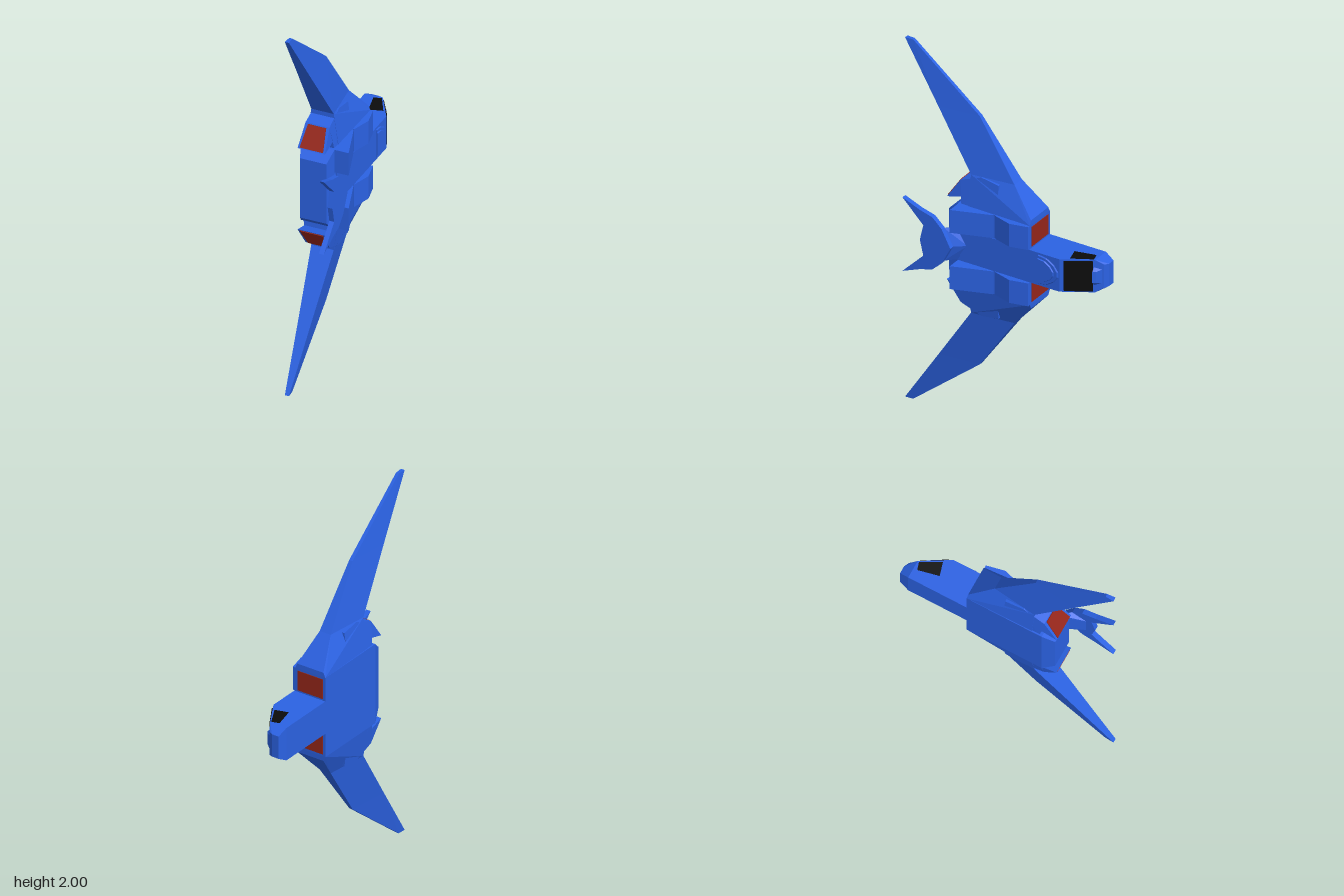
import * as THREE from 'three';
import { ConvexGeometry } from 'three/addons/geometries/ConvexGeometry.js';

const CX = -0.04; // thickness centre of hull and wings (the craft's upper side faces +x)

export function createModel() {
  const group = new THREE.Group();
  const material = (color) => new THREE.MeshStandardMaterial({ color, flatShading: true });
  const blue = material(0x2b62e3), red = material(0x96261a), black = material(0x0c0c0c);

  const add = (name, geometry, mat = blue) => {
    const mesh = new THREE.Mesh(geometry, mat);
    mesh.name = name;
    group.add(mesh);
  };
  // Convex solid from points [x, v, z], where v is the span offset from y = 1
  const hull = (name, points, mat) =>
    add(name, new ConvexGeometry(points.map(([x, v, z]) => new THREE.Vector3(x, 1 + v, z))), mat);
  // Points [z, v, halfThickness] doubled to both faces
  const thick = (points, s) => points.flatMap(([z, v, h]) => [[CX - h, v * s, z], [CX + h, v * s, z]]);
  // Points [x, v, z] doubled across the span
  const both = (points) => points.flatMap(([x, v, z]) => [[x, v, z], [x, -v, z]]);

  // Main hull with bevelled stern
  hull('mainHull', both([
    [-0.13, 0.22, -0.197], [0.05, 0.22, -0.197], [-0.13, 0.22, 0.217], [0.05, 0.22, 0.217],
    [-0.105, 0.168, 0.278], [0.035, 0.168, 0.278],
  ]));

  // Neck and cockpit
  hull('neck', both([
    [-0.13, 0.09, 0.2], [0.055, 0.09, 0.2], [-0.13, 0.09, -0.385], [0.055, 0.09, -0.37],
    [0.045, 0.09, -0.387], [-0.13, 0.09, -0.52], [-0.033, 0.09, -0.52],
    [-0.12, 0.062, -0.57], [-0.08, 0.062, -0.57], [-0.055, 0.065, -0.557],
  ]));
  hull('noseVisor', both([
    [-0.08, 0.045, -0.57], [-0.06, 0.045, -0.55], [-0.013, 0.03, -0.515],
    [-0.035, 0.055, -0.515], [-0.025, 0.03, -0.53],
  ]));
  hull('windshield', both([
    [0.045, 0.083, -0.389], [0.049, 0.083, -0.392], [-0.028, 0.083, -0.507], [-0.024, 0.083, -0.512],
  ]), black);
  for (const r of [1, 0.8]) {
    const rim = (k, x) => [-0.25, -0.3, -0.345, -0.37].map((z, i) =>
      [x, [0.085, 0.078, 0.05, 0.015][i] * k, -0.25 + (z + 0.25) * k]);
    hull('canopyFairing', both([...rim(r, 0.05), ...rim(r * 0.9, r === 1 ? 0.06 : 0.066)]));
  }

  for (const s of [1, -1]) {
    // Side window and front intake
    hull('sideWindow', [0.088, 0.092].flatMap((v) => [
      [-0.075, v * s, -0.5], [-0.035, v * s, -0.512], [0.02, v * s, -0.41], [-0.05, v * s, -0.39],
    ]), black);
    hull('frontIntake', [-0.2, -0.19].flatMap((z) => [
      [-0.115, 0.1 * s, z], [0.035, 0.1 * s, z], [-0.115, 0.208 * s, z], [0.035, 0.208 * s, z],
    ]), red);

    // Swept wing: root, middle and tip, thin at the leading edge
    const front = [-0.073, 0.385, 0.033], back = [0.16, 0.385, 0.06];
    const midFront = [0.14, 0.69, 0.01], midBack = [0.363, 0.69, 0.035];
    hull('wingRoot', thick([
      [-0.197, 0.2, 0.09], [-0.197, 0.22, 0.09], [-0.196, 0.245, 0.078], [-0.15, 0.275, 0.042],
      front, back, [0.16, 0.22, 0.085],
    ], s));
    hull('wingMiddle', thick([front, back, midFront, midBack], s));
    hull('wingTip', thick([midFront, midBack, [0.525, 1, 0.008], [0.57, 1, 0.011]], s));

    // Engine nacelle with overhanging exhaust
    const hook = [0.2, 0.255, 0.075], shoulder = [0.217, 0.34, 0.064], lip = [0.29, 0.23, 0.073];
    hull('engineNacelle', thick([
      [0, 0.2, 0.085], [0, 0.37, 0.062], [0.1, 0.385, 0.06], shoulder, hook, [0.2, 0.2, 0.085],
    ], s));
    hull('exhaustHood', thick([hook, shoulder, lip], s));
    hull('engineExhaust', thick([
      [0.219, 0.334, 0.048], [0.286, 0.233, 0.062], [0.224, 0.337, 0.048], [0.291, 0.236, 0.062],
    ], s), red);

    // Upper pads: ridged in front, rising wedge behind
    const pad = (name, profile) => hull(name, [0.093, 0.22].flatMap((v) =>
      profile.map(([x, z]) => [x, v * s, z])));
    pad('frontPad', [[0.045, -0.197], [0.064, -0.197], [0.085, -0.1], [0.055, 0], [0.045, 0]]);
    pad('rearPad', [[0.045, 0.01], [0.056, 0.01], [0.125, 0.215], [0.045, 0.215]]);
  }

  // Tail pylon and crescent fin
  hull('tailPylon', both([
    [0.05, 0, 0.16], [0.05, 0.09, 0.217], [0.05, 0.06, 0.225],
    [0.098, 0.09, 0.265], [0.098, 0, 0.225], [0.098, 0.06, 0.35],
  ]));
  const half = [[0.215, 0], [0.265, 0.095], [0.318, 0.145], [0.39, 0.165], [0.49, 0.205], [0.37, 0.085], [0.39, 0]];
  const outline = [...half, ...half.slice(1, -1).reverse().map(([z, v]) => [z, -v])];
  const fin = new THREE.ExtrudeGeometry(
    new THREE.Shape(outline.map(([z, v]) => new THREE.Vector2(z, v))),
    { depth: 0.026, bevelEnabled: false });
  fin.rotateY(-Math.PI / 2).translate(0.12, 1, 0);
  add('tailFin', fin);

  return group;
}
